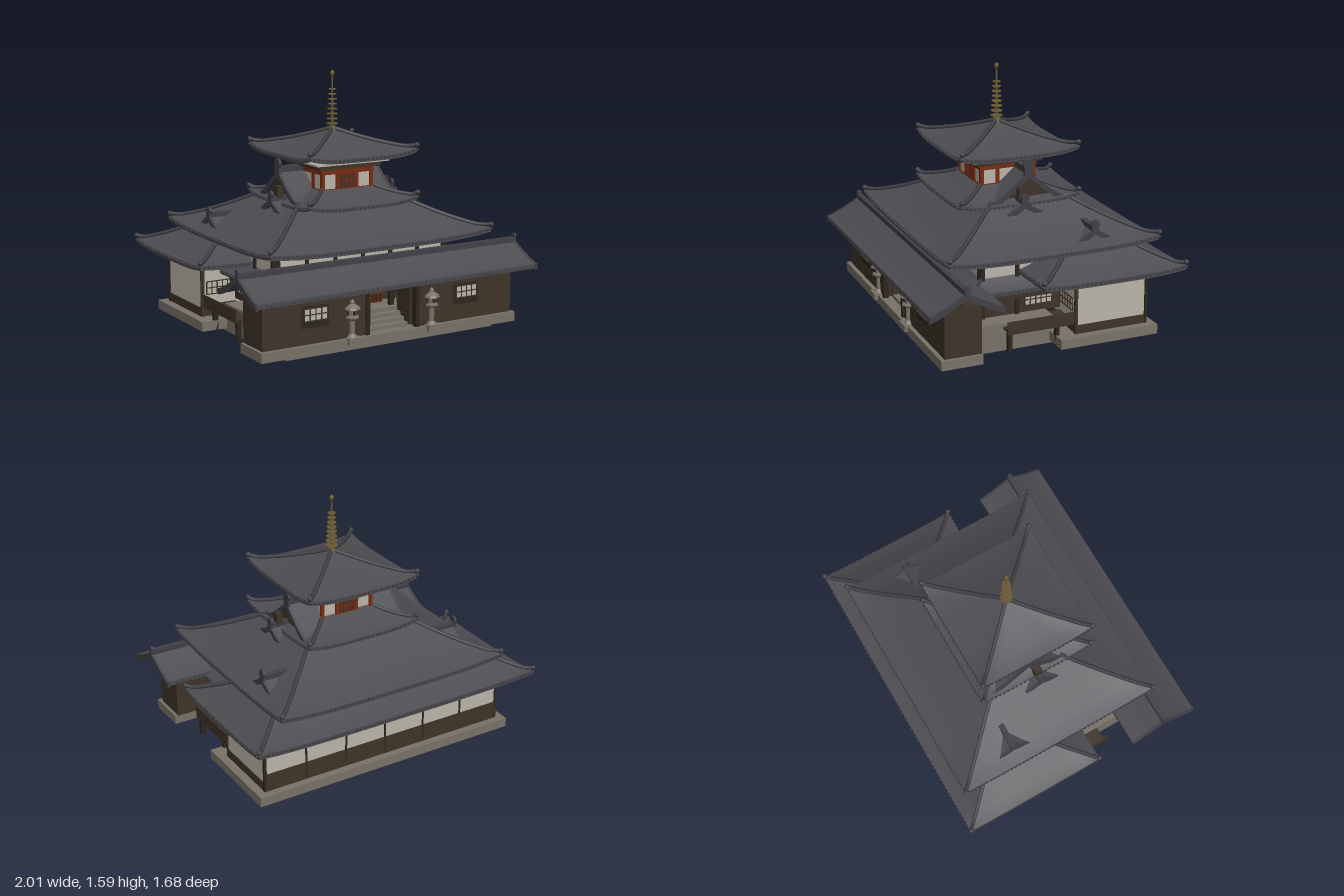
import * as THREE from 'three';
import { mergeGeometries, toCreasedNormals } from 'three/addons/utils/BufferGeometryUtils.js';

const material = (name, color) => {
  const m = new THREE.MeshStandardMaterial({ color });
  m.name = name;
  return m;
};

export function createModel() {
  const tile = material('roof tile', 0x4d4c51);
  const trim = material('ridge tile', 0x414146);
  const brown = material('dark timber', 0x3e3328);
  const post = material('black timber', 0x2d261f);
  const stone = material('stone', 0x787268);
  const white = material('plaster', 0xbbb6aa);
  const red = material('red lacquer', 0x7a2a12);
  const brass = material('brass', 0x6a5a34);
  const root = new THREE.Group();
  root.name = 'temple';

  const section = (name) => {
    const g = new THREE.Group();
    g.name = name;
    root.add(g);
    return g;
  };
  const mesh = (g, name, geo, mat) => {
    const m = new THREE.Mesh(geo, mat);
    m.name = name;
    g.add(m);
    return m;
  };
  // Box given by its extents on each axis
  const box = (g, name, mat, x0, x1, y0, y1, z0, z1) =>
    mesh(g, name, new THREE.BoxGeometry(x1 - x0, y1 - y0, z1 - z0), mat)
      .position.set((x0 + x1) / 2, (y0 + y1) / 2, (z0 + z1) / 2);
  // Same box on both sides of x = 0
  const pair = (g, name, mat, x0, x1, ...r) => {
    box(g, name, mat, x0, x1, ...r);
    box(g, name, mat, -x1, -x0, ...r);
  };

  // Hipped roof with sagging slopes, lifted corners, hip ridges and round eave tiles
  function hipRoof(g, { ox, oz, cz = 0, inset, y0, y1, lift = 0.03, th = 0.03, hip = 0.013 }) {
    const point = (side, u, t, drop = 0) => {
      const hx = ox - inset * t, hz = oz - inset * t;
      const y = y0 + (y1 - y0) * t ** 1.25 + lift * u ** 4 * (1 - t) ** 2 - drop;
      const [x, z] = [[u * hx, hz], [hx, -u * hz], [-u * hx, -hz], [-hx, u * hz]][side];
      return new THREE.Vector3(x, y, z + cz);
    };
    const N = 16, T = 8, parts = [], dots = [], hips = [];
    const rows = [];
    for (let j = T; j >= 0; j--) rows.push([j / T, th]);
    for (let j = 0; j <= T; j++) rows.push([j / T, 0]);
    for (let s = 0; s < 4; s++) {
      const pos = [], idx = [];
      rows.forEach(([t, d], j) => {
        for (let i = 0; i <= N; i++) {
          pos.push(...point(s, (2 * i) / N - 1, t, d).toArray());
          if (i < N && j < rows.length - 1) {
            const a = j * (N + 1) + i, b = a + N + 1;
            idx.push(a, a + 1, b + 1, a, b + 1, b);
          }
        }
      });
      const geo = new THREE.BufferGeometry();
      geo.setAttribute('position', new THREE.Float32BufferAttribute(pos, 3));
      geo.setIndex(idx);
      parts.push(geo.toNonIndexed());
      const n = Math.round((s % 2 ? oz : ox) * 2 / 0.03);
      for (let i = 0; i <= n; i++) {
        const p = point(s, (2 * i) / n - 1, 0, 0.012);
        dots.push(new THREE.CylinderGeometry(0.009, 0.009, 0.014, 6).rotateX(Math.PI / 2)
          .rotateY(s * Math.PI / 2).translate(p.x, p.y, p.z));
      }
      const pts = [];
      for (let j = 0; j <= T; j++) pts.push(point(s, 1, j / T, -0.006));
      pts[0].y += 0.012;
      hips.push(new THREE.TubeGeometry(new THREE.CatmullRomCurve3(pts), 16, hip, 6));
      hips.push(new THREE.SphereGeometry(hip * 1.3, 8, 6).translate(...pts[0].toArray()));
    }
    mesh(g, 'roofSlopes', toCreasedNormals(mergeGeometries(parts), 0.5), tile);
    mesh(g, 'eaveTiles', mergeGeometries(dots), trim);
    mesh(g, 'hipRidges', mergeGeometries(hips), trim);
  }

  // Curved gable profile extruded along x
  function gableSlab(w, yb, yt, th, x0, x1, solid) {
    const top = [], n = 6;
    for (let i = -n; i <= n; i++) {
      const s = Math.abs(i) / n;
      top.push(new THREE.Vector2((i / n) * w, yb + (yt - yb) * (1 - s) ** 1.25));
    }
    const bottom = solid ? [] : top.map((p) => new THREE.Vector2(p.x, p.y - th)).reverse();
    return new THREE.ExtrudeGeometry(new THREE.Shape([...top, ...bottom]),
      { depth: x1 - x0, bevelEnabled: false }).translate(0, 0, x0).rotateY(Math.PI / 2);
  }
  // Gable roof with timber ends, bargeboards, ridge and end tiles
  function gable(g, { w, yb, yt, xe, cz, th = 0.03, fill = true, tip = 0.035, ridge = 0.03 }) {
    mesh(g, 'gableRoof', gableSlab(w, yb, yt, th, -xe, xe), tile).position.z = cz;
    if (fill) mesh(g, 'gableWall', gableSlab(w * 0.95, yb - 0.01, yt - 0.02, 0, -xe + 0.04, xe - 0.04, true), brown).position.z = cz;
    box(g, 'ridge', trim, -xe, xe, yt - 0.01, yt + ridge, cz - 0.018, cz + 0.018);
    for (const s of [-1, 1]) {
      const x = s * (xe - 0.004);
      mesh(g, 'bargeboard', gableSlab(w + 0.004, yb, yt + 0.004, th + 0.008, x - 0.008, x + 0.008), trim).position.z = cz;
      const disc = new THREE.CylinderGeometry(tip, tip, 0.016, 12).rotateZ(Math.PI / 2);
      mesh(g, 'endTile', disc, trim).position.set(x, yt + ridge + tip * 0.4, cz);
      box(g, 'endTileFoot', trim, x - 0.008, x + 0.008, yt - 0.03, yt + ridge, cz - tip * 0.8, cz + tip * 0.8);
    }
  }
  // Barred window on a wall facing +z, turned to face any way
  function lattice(g, name, w, h, cols, back, bars, x, y, z, turn = 0) {
    const win = new THREE.Group();
    win.name = name;
    box(win, 'pane', back, -w / 2, w / 2, -h / 2, h / 2, 0, 0.006);
    for (let i = 0; i <= cols; i++) {
      const p = -w / 2 + (i * w) / cols;
      box(win, 'upright', bars, p - 0.003, p + 0.003, -h / 2, h / 2, 0.004, 0.01);
    }
    for (const p of [-h / 2, 0, h / 2]) box(win, 'crossbar', bars, -w / 2, w / 2, p - 0.003, p + 0.003, 0.004, 0.01);
    win.position.set(x, y, z);
    win.rotation.y = turn;
    g.add(win);
  }

  // Stone bases
  const base = section('foundations');
  box(base, 'groundPlate', stone, -0.74, 0.74, 0, 0.02, -0.635, 0.71);
  box(base, 'gateBase', stone, -0.91, 0.91, 0.015, 0.075, 0.47, 0.73);
  box(base, 'wingBase', stone, -0.91, 0.91, 0.02, 0.08, -0.685, -0.035);
  box(base, 'podium', stone, -0.74, 0.74, 0.012, 0.175, -0.06, 0.495);
  for (let i = 0; i < 4; i++) box(base, 'step', stone, -0.14, 0.14, 0.07, 0.1 + i * 0.025, 0.49, 0.66 - i * 0.04);

  // Gatehouse
  const gate = section('gatehouse');
  pair(gate, 'gateWall', brown, 0.185, 0.89, 0.07, 0.385, 0.47, 0.703);
  box(gate, 'lintel', post, -0.19, 0.19, 0.355, 0.39, 0.48, 0.69);
  pair(gate, 'gatePost', post, 0.165, 0.19, 0.07, 0.37, 0.68, 0.715);
  pair(gate, 'innerPost', post, 0.11, 0.14, 0.07, 0.37, 0.48, 0.51);
  pair(gate, 'doorLeaf', brown, 0.155, 0.168, 0.08, 0.35, 0.52, 0.66);
  pair(gate, 'kingPost', post, 0.84, 0.885, 0.38, 0.48, 0.585, 0.615);
  gable(gate, { w: 0.23, yb: 0.395, yt: 0.505, xe: 0.995, cz: 0.6, fill: false, tip: 0.018, ridge: 0.022 });
  for (const s of [-1, 1]) {
    box(gate, 'windowFrame', post, s * 0.54 - 0.09, s * 0.54 + 0.09, 0.175, 0.305, 0.7, 0.71);
    lattice(gate, 'gateWindow', 0.155, 0.075, 4, white, brown, s * 0.54, 0.255, 0.708);
  }
  const gateTiles = [];
  for (let i = 0; i <= 64; i++) for (const z of [0.375, 0.825])
    gateTiles.push(new THREE.CylinderGeometry(0.009, 0.009, 0.014, 6).rotateX(Math.PI / 2).translate(-0.99 + (i * 1.98) / 64, 0.376, z));
  mesh(gate, 'eaveTiles', mergeGeometries(gateTiles), trim);

  // Stone lanterns
  for (const s of [-1, 1]) {
    const lantern = section('lantern');
    lantern.position.set(s * 0.285, 0, 0.705);
    box(lantern, 'foot', stone, -0.048, 0.048, 0.04, 0.08, -0.048, 0.048);
    const profile = [[0.035, 0.08], [0.018, 0.1], [0.018, 0.18], [0.042, 0.195], [0.042, 0.205], [0.026, 0.21],
      [0.026, 0.245], [0.052, 0.25], [0.045, 0.263], [0.015, 0.282], [0.015, 0.295], [0, 0.31]];
    mesh(lantern, 'shaft', toCreasedNormals(new THREE.LatheGeometry(profile.map((p) => new THREE.Vector2(...p)), 8), 0.4), stone);
    for (let i = 0; i < 3; i++) {
      const a = (i - 1) * Math.PI / 2;
      mesh(lantern, 'lightOpening', new THREE.BoxGeometry(0.018, 0.022, 0.006), post)
        .position.set(Math.sin(a) * 0.025, 0.228, Math.cos(a) * 0.025);
    }
  }

  // Rear wing
  const wing = section('rearWing');
  box(wing, 'wingWall', white, -0.85, 0.85, 0.08, 0.46, -0.63, -0.16);
  box(wing, 'sill', brown, -0.855, 0.855, 0.08, 0.135, -0.633, -0.157);
  box(wing, 'backDado', brown, -0.857, 0.857, 0.08, 0.195, -0.637, -0.62);
  for (let i = 0; i <= 6; i++) {
    const x = -0.85 + (i * 1.7) / 6, r = i % 6 ? 0.005 : 0.009;
    box(wing, 'wallPost', post, x - r, x + r, 0.08, 0.45, -0.637, -0.62);
  }
  pair(wing, 'cornerPost', brown, 0.835, 0.856, 0.08, 0.45, -0.168, -0.152);
  pair(wing, 'verandaBoard', brown, 0.835, 0.845, 0.14, 0.22, -0.19, 0.285);
  pair(wing, 'verandaFloor', brown, 0.62, 0.84, 0.14, 0.155, -0.16, 0.27);
  for (const z of [-0.06, 0.25]) pair(wing, 'verandaLeg', post, 0.8, 0.83, 0.02, 0.15, z, z + 0.025);
  for (const s of [-1, 1]) lattice(wing, 'frontWindow', 0.18, 0.08, 5, white, brown, s * 0.73, 0.26, -0.158);
  hipRoof(wing, { ox: 0.99, oz: 0.47, cz: -0.355, inset: 0.3, y0: 0.455, y1: 0.6, lift: 0.02 });
  gable(wing, { w: 0.175, yb: 0.585, yt: 0.675, xe: 0.705, cz: -0.35, tip: 0.028, ridge: 0.02 });

  // Main hall
  const hall = section('mainHall');
  box(hall, 'hallWall', brown, -0.62, 0.62, 0.17, 0.6, -0.4, 0.36);
  pair(hall, 'sidePlaster', white, 0.62, 0.626, 0.43, 0.535, -0.38, 0.345);
  box(hall, 'frontPlaster', white, -0.6, 0.6, 0.43, 0.535, 0.36, 0.366);
  for (let i = 0; i <= 6; i++) {
    const x = -0.6 + i * 0.2;
    box(hall, 'upperPost', post, x - 0.012, x + 0.012, 0.42, 0.56, 0.355, 0.376);
    box(hall, 'porchPost', post, x - 0.016, x + 0.016, 0.17, 0.36, 0.372, 0.404);
  }
  for (const z of [0.12, 0.345]) pair(hall, 'sidePost', post, 0.61, 0.636, 0.17, 0.56, z, z + 0.025);
  box(hall, 'eaveBeam', brown, -0.66, 0.66, 0.285, 0.33, -0.3, 0.42);
  for (const s of [-1, 1]) lattice(hall, 'sideWindow', 0.18, 0.07, 5, white, brown, s * 0.622, 0.255, -0.01, s * Math.PI / 2);
  lattice(hall, 'hallDoor', 0.22, 0.11, 8, post, red, 0, 0.235, 0.41);
  hipRoof(hall, { ox: 0.72, oz: 0.43, cz: 0.03, inset: 0.1, y0: 0.365, y1: 0.43, lift: 0.01, th: 0.025, hip: 0.01 });
  hipRoof(hall, { ox: 0.79, oz: 0.685, cz: -0.06, inset: 0.44, y0: 0.585, y1: 0.8 });
  gable(hall, { w: 0.25, yb: 0.795, yt: 0.975, xe: 0.365, cz: -0.06, tip: 0.036 });

  // Tower: lower roof, lacquered storey, brackets, top roof
  const tower = section('tower');
  hipRoof(tower, { ox: 0.39, oz: 0.39, inset: 0.2, y0: 0.79, y1: 0.87, th: 0.025 });
  gable(tower, { w: 0.11, yb: 0.75, yt: 0.81, xe: 0.45, cz: 0, tip: 0.026, ridge: 0.02 });
  pair(tower, 'gablePendant', brown, 0.37, 0.41, 0.82, 0.89, -0.025, 0.025);
  box(tower, 'towerWall', white, -0.175, 0.175, 0.8, 1.0, -0.175, 0.175);
  for (let s = 0; s < 4; s++) {
    const face = new THREE.Group();
    face.name = 'towerFace';
    face.rotation.y = s * Math.PI / 2;
    tower.add(face);
    box(face, 'topBeam', red, -0.19, 0.19, 0.965, 0.998, 0.165, 0.19);
    box(face, 'bottomBeam', red, -0.185, 0.185, 0.85, 0.872, 0.165, 0.185);
    for (const x of [-0.175, -0.07, 0.07, 0.175]) box(face, 'redPost', red, x - 0.011, x + 0.011, 0.85, 0.98, 0.165, 0.186);
    if (s % 2 === 0) lattice(face, 'towerDoor', 0.125, 0.09, 6, brown, red, 0, 0.918, 0.175);
  }
  box(tower, 'bracketBand', brown, -0.22, 0.22, 0.998, 1.032, -0.22, 0.22);
  box(tower, 'ceilingPlate', white, -0.262, 0.262, 1.032, 1.044, -0.262, 0.262);
  box(tower, 'roofCore', post, -0.15, 0.15, 1.04, 1.11, -0.15, 0.15);
  hipRoof(tower, { ox: 0.385, oz: 0.385, inset: 0.385, y0: 1.09, y1: 1.225, th: 0.028 });

  // Spire with rings
  const spire = section('spire');
  mesh(spire, 'rod', new THREE.CylinderGeometry(0.005, 0.008, 0.36, 8), brass).position.y = 1.39;
  mesh(spire, 'spireFoot', new THREE.CylinderGeometry(0.02, 0.03, 0.03, 12), brass).position.y = 1.225;
  for (let i = 0; i < 8; i++) {
    const r = 0.038 - i * 0.0018;
    mesh(spire, 'ring', new THREE.CylinderGeometry(r, r, 0.006, 16), brass).position.y = 1.255 + i * 0.031;
  }
  const jewel = mesh(spire, 'jewel', new THREE.SphereGeometry(0.014, 12, 10), brass);
  jewel.scale.y = 1.4;
  jewel.position.y = 1.572;
  return root;
}
